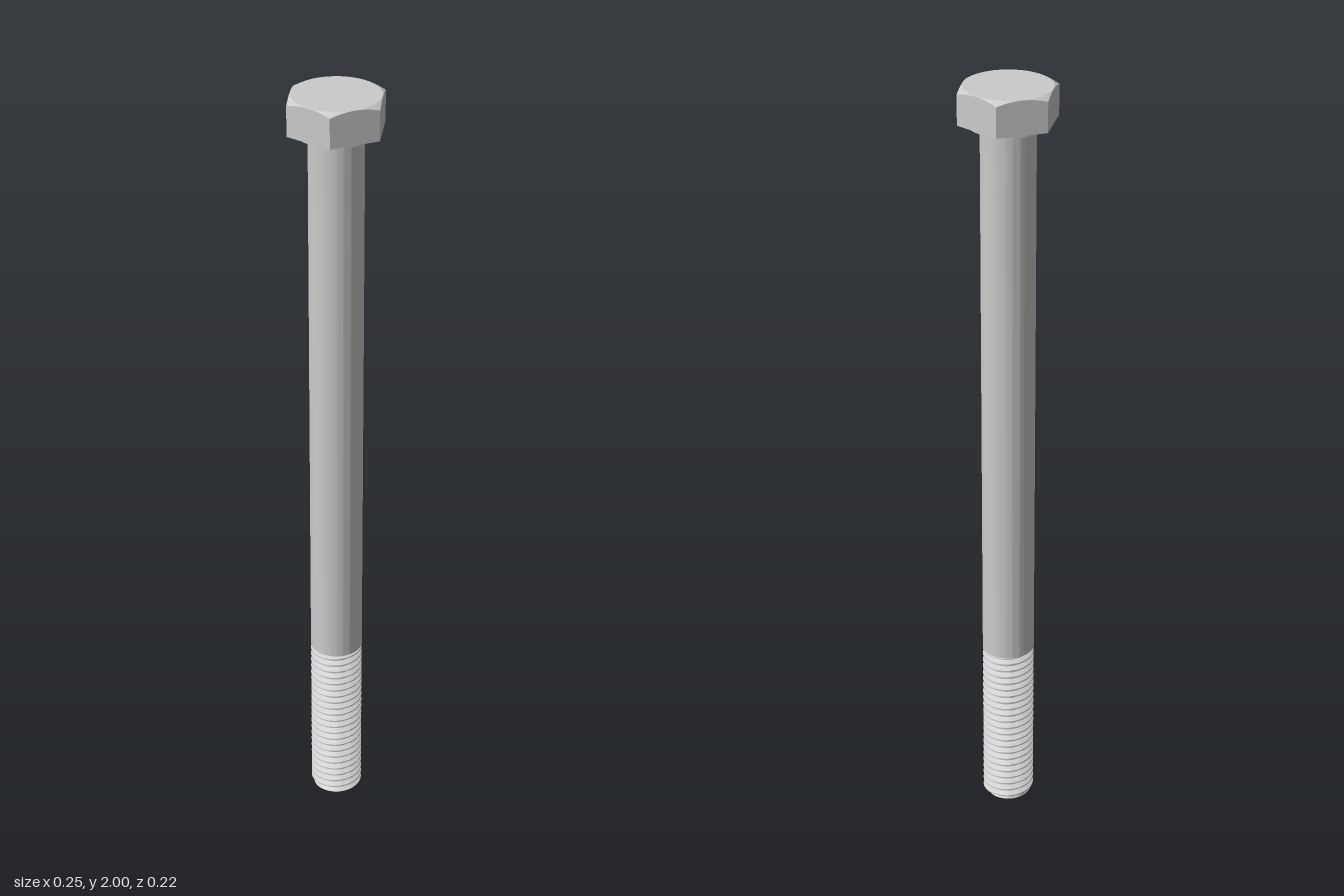
import * as THREE from 'three';
import { toCreasedNormals } from 'three/addons/utils/BufferGeometryUtils.js';

const SHANK_R = 0.067, ROOT_R = 0.055, THREAD_TOP = 0.455, PITCH = 0.0201;
const HEAD_BASE = 1.914, TOP = 2, APOTHEM = 0.108;

// Skins rows of points around the y axis; at(angle, row) returns [radius, y], rows run upwards.
function loft(rows, segments, at, crease) {
  const positions = [];
  const point = (i, j) => {
    const angle = (i / segments) * Math.PI * 2;
    const [r, y] = at(angle, j);
    const a = (i % segments) / segments * Math.PI * 2;
    return new THREE.Vector3(r * Math.cos(a), y, -r * Math.sin(a));
  };
  const tri = new THREE.Triangle();
  const add = (a, b, c) => {
    if (tri.set(a, b, c).getArea() > 1e-9) positions.push(...a, ...b, ...c);
  };
  for (let j = 0; j < rows - 1; j++) {
    for (let i = 0; i < segments; i++) {
      const a = point(i, j), b = point(i + 1, j), c = point(i + 1, j + 1), d = point(i, j + 1);
      add(a, b, c);
      add(a, c, d);
    }
  }
  const geometry = new THREE.BufferGeometry();
  geometry.setAttribute('position', new THREE.Float32BufferAttribute(positions, 3));
  return toCreasedNormals(geometry, crease);
}

// Hexagon with corners on the x axis, its top corners cut by a 30 degree cone
function headGeometry() {
  const circle = APOTHEM - 0.001;
  return loft(5, 72, (angle, j) => {
    const fromFlat = (angle % (Math.PI / 3)) - Math.PI / 6;
    const r = APOTHEM / Math.cos(fromFlat);
    return [
      [0, HEAD_BASE],
      [r, HEAD_BASE],
      [r, TOP - (r - circle) * Math.tan(Math.PI / 6)],
      [circle, TOP],
      [0, TOP],
    ][j];
  }, 0.3);
}

// Right-handed helical thread: four rows per turn (root, root, crest, crest)
function threadGeometry() {
  const starts = [0, 0.2, 0.52, 0.68];
  const turns = Math.ceil(THREAD_TOP / PITCH) + 1;
  const radiusAt = (phase) => {
    const p = phase - Math.floor(phase);
    let t = 0;
    if (p > 0.2 && p < 0.52) t = (p - 0.2) / 0.32;
    else if (p >= 0.52 && p <= 0.68) t = 1;
    else if (p > 0.68) t = (1 - p) / 0.32;
    return ROOT_R + (SHANK_R - ROOT_R) * t;
  };
  const rows = turns * 4 + 2;
  return loft(rows, 48, (angle, j) => {
    if (j === 0) return [0, 0];
    if (j === rows - 1) return [0, THREAD_TOP];
    const k = j - 1, turn = angle / (Math.PI * 2);
    const raw = PITCH * (Math.floor(k / 4) - 1 + starts[k % 4] + turn);
    const y = THREE.MathUtils.clamp(raw, 0, THREAD_TOP);
    // the tip is slightly chamfered
    return [Math.min(radiusAt(y / PITCH - turn + 1e-6), 0.058 + y), y];
  }, 0.5);
}

export function createModel() {
  const material = new THREE.MeshStandardMaterial({ color: 0xcccccc });
  const bolt = new THREE.Group();
  bolt.name = 'hexBolt';
  const add = (name, geometry) => {
    const mesh = new THREE.Mesh(geometry, material);
    mesh.name = name;
    bolt.add(mesh);
  };
  const lathe = (points) => toCreasedNormals(
    new THREE.LatheGeometry(points.map(([x, y]) => new THREE.Vector2(x, y)), 64), 0.5);

  add('head', headGeometry());

  // Round bearing face under the head
  add('washerFace', lathe([[0, 1.906], [0.098, 1.906], [0.098, HEAD_BASE + 0.002]]));

  // Plain shank, bevelled where the thread begins
  add('shank', lathe([
    [0, THREAD_TOP - 0.004], [ROOT_R, THREAD_TOP - 0.004],
    [SHANK_R, THREAD_TOP + 0.004], [SHANK_R, 1.91],
  ]));

  add('thread', threadGeometry());
  return bolt;
}
